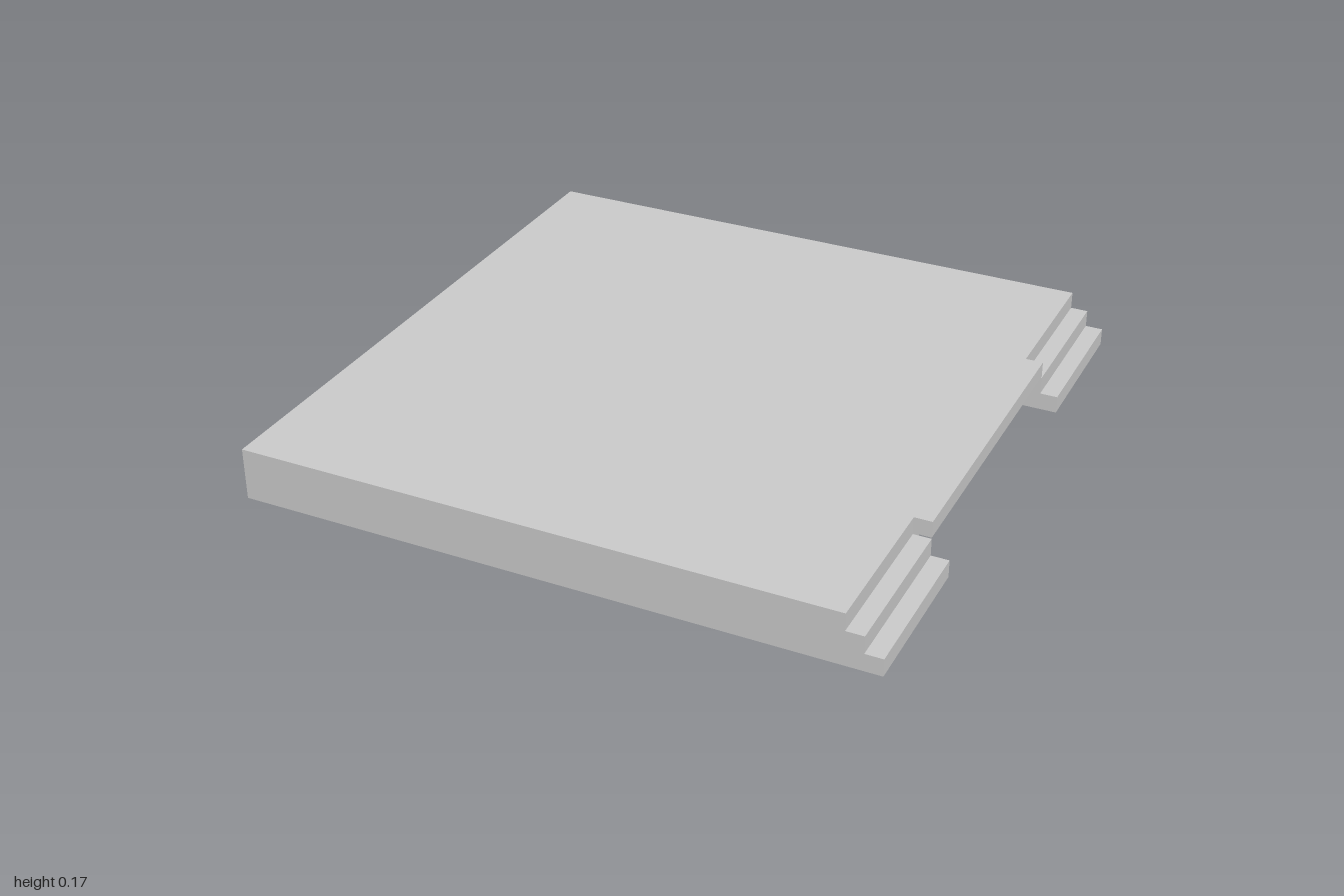
import * as THREE from 'three';

const U = 1 / 18;          // step module: tread depth and riser height
const TOP = 3 * U;         // deck height
const CEIL = 0.115;        // underside of the overhanging slab
const RECESS = 1 - 6 * U;  // back wall of the recess

export function createModel() {
  const model = new THREE.Group();
  model.name = 'steppedPlatform';
  const material = new THREE.MeshStandardMaterial({ color: 0xcccccc, flatShading: true });

  const add = (name, geometry, x, y, z) => {
    const mesh = new THREE.Mesh(geometry, material);
    mesh.name = name;
    mesh.position.set(x, y, z);
    model.add(mesh);
  };

  // Extrude an x-y profile along z
  const extrude = (points, depth) => new THREE.ExtrudeGeometry(
    new THREE.Shape(points.map(([x, y]) => new THREE.Vector2(x, y))),
    { depth, bevelEnabled: false }
  );

  // Outer deck sections, each ending in steps on the +x side
  const stepProfile = [
    [-1, 0], [1, 0], [1, U], [1 - U, U], [1 - U, 2 * U],
    [1 - 2 * U, 2 * U], [1 - 2 * U, TOP], [-1, TOP],
  ];
  add('frontSteppedDeck', extrude(stepProfile, 0.5), 0, 0, 0.5);
  add('backSteppedDeck', extrude(stepProfile, 0.5), 0, 0, -1);

  // Middle deck section with an overhanging slab above the recess
  const overhangProfile = [
    [-1, 0], [RECESS, 0], [RECESS, CEIL], [1 - U, CEIL], [1 - U, TOP], [-1, TOP],
  ];
  add('middleOverhangDeck', extrude(overhangProfile, 1), 0, 0, -0.5);

  // Square posts carrying the overhang, mirrored about the centre
  for (const z of [1.5 * U, 5.5 * U, 8.5 * U]) {
    for (const side of [-1, 1]) {
      add('post', new THREE.BoxGeometry(U, CEIL, U), 1 - 2.5 * U, CEIL / 2, side * z);
    }
  }
  return model;
}
